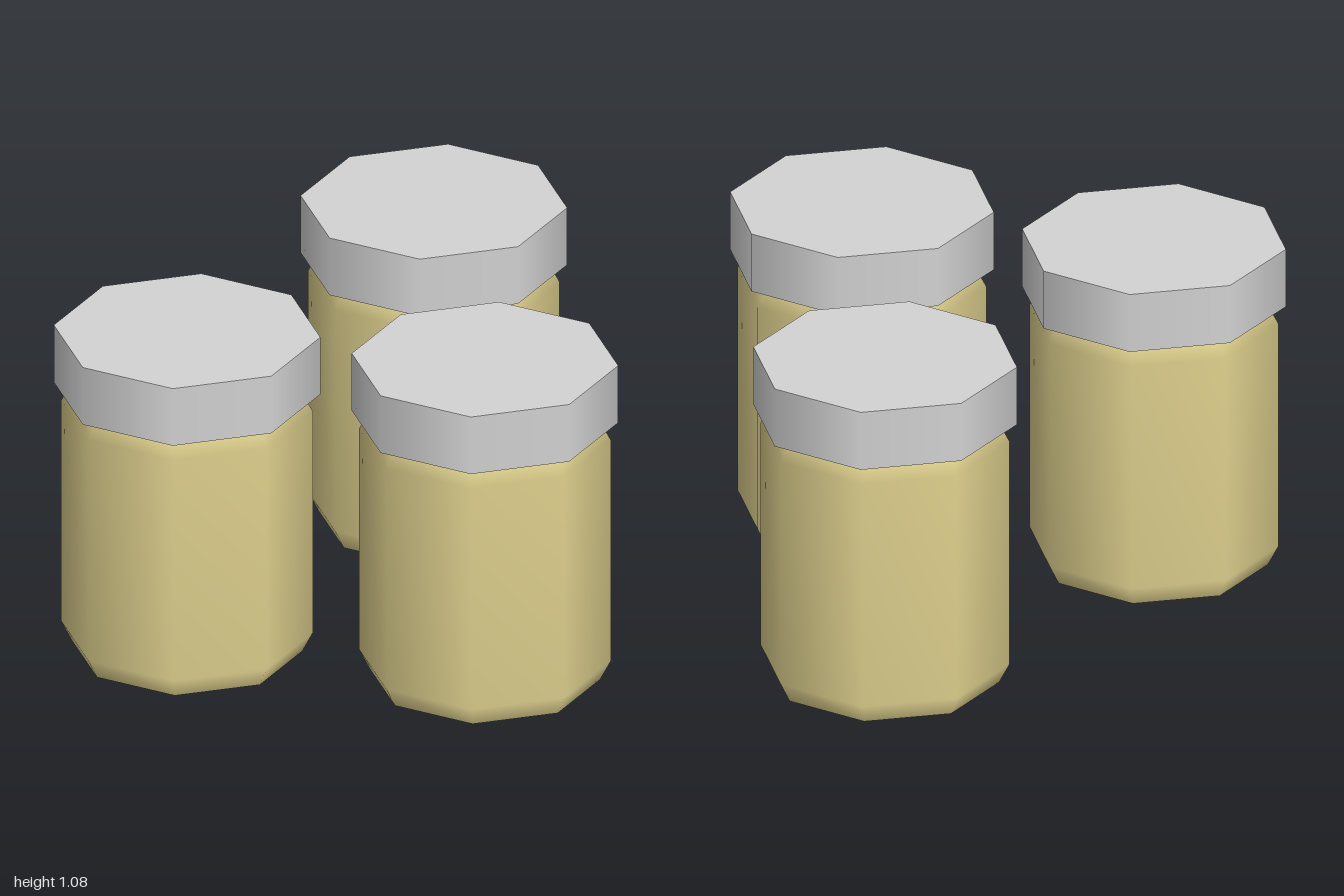
import * as THREE from 'three';

const SIDES = 8;
const JAR_R = 0.39, NECK_R = 0.357, LID_R = 0.413;
const LID_BOTTOM = 0.88, LID_TOP = 1.075;

export function createModel() {
  const model = new THREE.Group();
  model.name = 'jars';

  const filling = new THREE.MeshStandardMaterial({ color: 0xdfd18e });
  filling.name = 'pale yellow jar';
  const metal = new THREE.MeshStandardMaterial({ color: 0xd4d4d4 });
  metal.name = 'light grey lid';
  const shade = new THREE.MeshStandardMaterial({ color: 0x626262 });
  shade.name = 'dark grey lid underside';

  // Smooth body with bevelled foot and shoulder
  const bodyGeo = new THREE.LatheGeometry([
    [NECK_R, 0], [JAR_R, 0.065], [JAR_R, 0.82], [NECK_R, LID_BOTTOM],
  ].map(([r, y]) => new THREE.Vector2(r, y)), SIDES);

  // Flat base, facing down, with a corner on +z
  const baseGeo = new THREE.CircleGeometry(NECK_R, SIDES).rotateX(Math.PI / 2);

  // Lid wall and top, and the ring under its rim
  const height = LID_TOP - LID_BOTTOM;
  const wallGeo = new THREE.CylinderGeometry(LID_R, LID_R, height, SIDES, 1, true)
    .translate(0, LID_BOTTOM + height / 2, 0);
  const topGeo = new THREE.CircleGeometry(LID_R, SIDES).rotateX(-Math.PI / 2)
    .translate(0, LID_TOP, 0);
  const rimGeo = new THREE.RingGeometry(NECK_R - 0.01, LID_R, SIDES).rotateX(Math.PI / 2)
    .translate(0, LID_BOTTOM, 0);

  const parts = [
    ['jarBody', bodyGeo, filling],
    ['jarBase', baseGeo, filling],
    ['lidWall', wallGeo, metal],
    ['lidTop', topGeo, metal],
    ['lidUnderside', rimGeo, shade],
  ];

  // Three equal jars
  const places = [['leftJar', 0.585, -0.488], ['rightJar', -0.587, -0.247], ['frontJar', 0, 0.487]];
  for (const [name, x, z] of places) {
    const jar = new THREE.Group();
    jar.name = name;
    jar.position.set(x, 0, z);
    for (const [partName, geometry, material] of parts) {
      const mesh = new THREE.Mesh(geometry, material);
      mesh.name = partName;
      jar.add(mesh);
    }
    model.add(jar);
  }
  return model;
}
